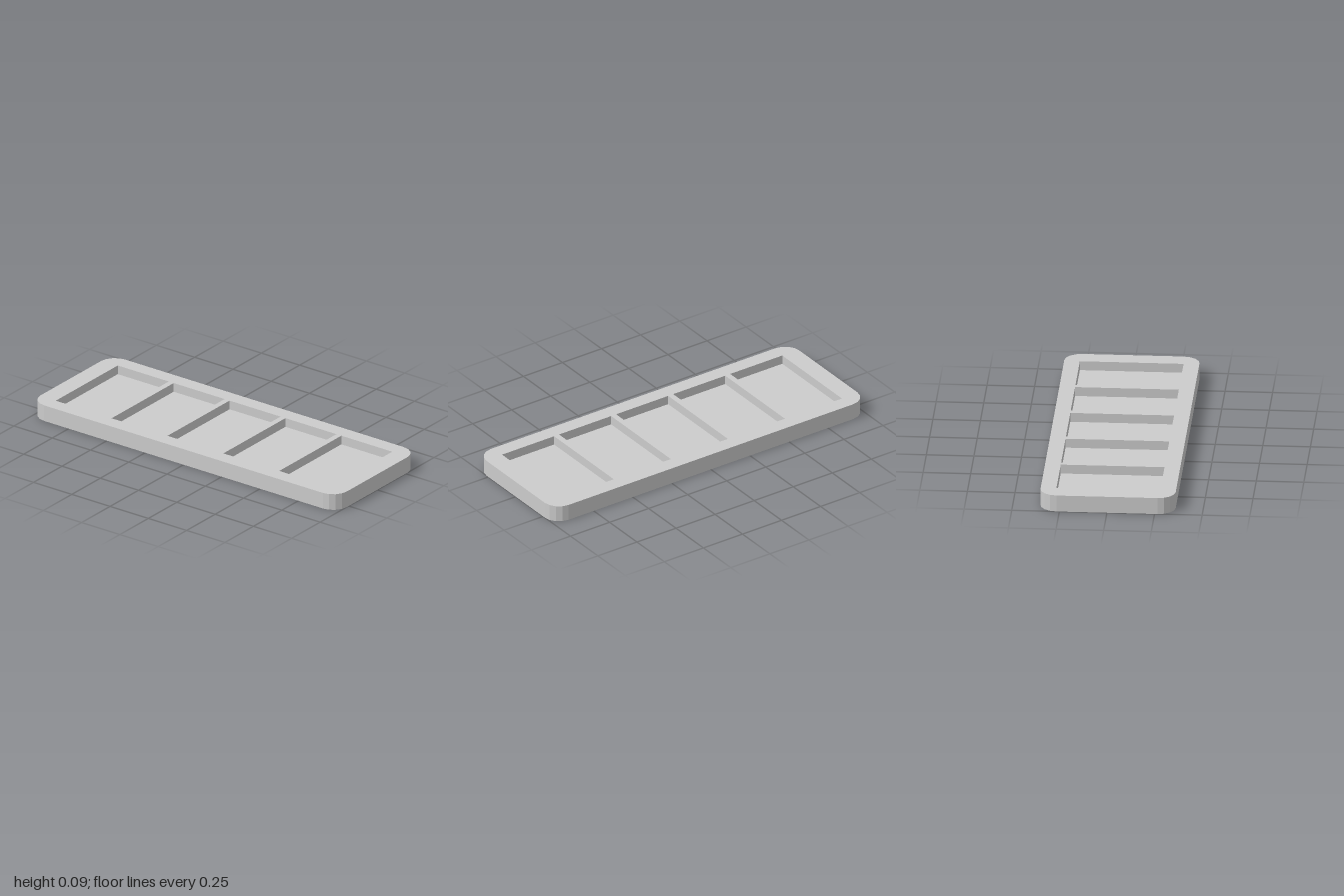
import * as THREE from 'three';

const HEIGHT = 0.09, HALF_X = 1, HALF_Z = 0.355, RADIUS = 0.09;
const POCKETS = 5, PITCH = 0.365, POCKET_X = 0.333, POCKET_Z = 0.545, DEPTH = 0.05;

const material = new THREE.MeshStandardMaterial({
  color: 0xcccccc, flatShading: true, side: THREE.DoubleSide,
});

function addMesh(parent, name, geometry) {
  const mesh = new THREE.Mesh(geometry, material);
  mesh.name = name;
  parent.add(mesh);
}

// Rounded rectangle with four facets per corner, counter-clockwise
function roundedOutline() {
  const points = [];
  const corners = [[1, 1], [-1, 1], [-1, -1], [1, -1]];
  corners.forEach(([sx, sy], c) => {
    for (let i = 0; i <= 4; i++) {
      const a = (c + i / 4) * Math.PI / 2;
      points.push(new THREE.Vector2(
        sx * (HALF_X - RADIUS) + RADIUS * Math.cos(a),
        sy * (HALF_Z - RADIUS) + RADIUS * Math.sin(a)));
    }
  });
  return points;
}

function rectangle(cx) {
  const w = POCKET_X / 2, h = POCKET_Z / 2;
  return [[-w, -h], [w, -h], [w, h], [-w, h]].map(([x, y]) => new THREE.Vector2(cx + x, y));
}

// Upright band that follows a closed outline; faces outward for counter-clockwise points
function wall(points, y0, y1) {
  const pos = [];
  points.forEach((a, i) => {
    const b = points[(i + 1) % points.length];
    pos.push(a.x, y0, -a.y, b.x, y0, -b.y, b.x, y1, -b.y);
    pos.push(a.x, y0, -a.y, b.x, y1, -b.y, a.x, y1, -a.y);
  });
  const geometry = new THREE.BufferGeometry();
  geometry.setAttribute('position', new THREE.Float32BufferAttribute(pos, 3));
  geometry.computeVertexNormals();
  return geometry;
}

// Flat sheet lying at height y
function sheet(shape, y) {
  return new THREE.ShapeGeometry(shape).rotateX(-Math.PI / 2).translate(0, y, 0);
}

export function createModel() {
  const tray = new THREE.Group();
  tray.name = 'compartmentTray';

  // Outer rim and pierced top, open underneath
  const outline = roundedOutline();
  addMesh(tray, 'outerWall', wall(outline, 0, HEIGHT));
  const top = new THREE.Shape(outline);

  // Row of sunken compartments
  for (let i = 0; i < POCKETS; i++) {
    const points = rectangle((i - (POCKETS - 1) / 2) * PITCH);
    top.holes.push(new THREE.Path(points));
    const pocket = new THREE.Group();
    pocket.name = `compartment${i + 1}`;
    addMesh(pocket, 'compartmentWalls', wall([...points].reverse(), HEIGHT - DEPTH, HEIGHT));
    addMesh(pocket, 'compartmentFloor', sheet(new THREE.Shape(points), HEIGHT - DEPTH));
    tray.add(pocket);
  }
  addMesh(tray, 'topPlate', sheet(top, HEIGHT));
  return tray;
}
